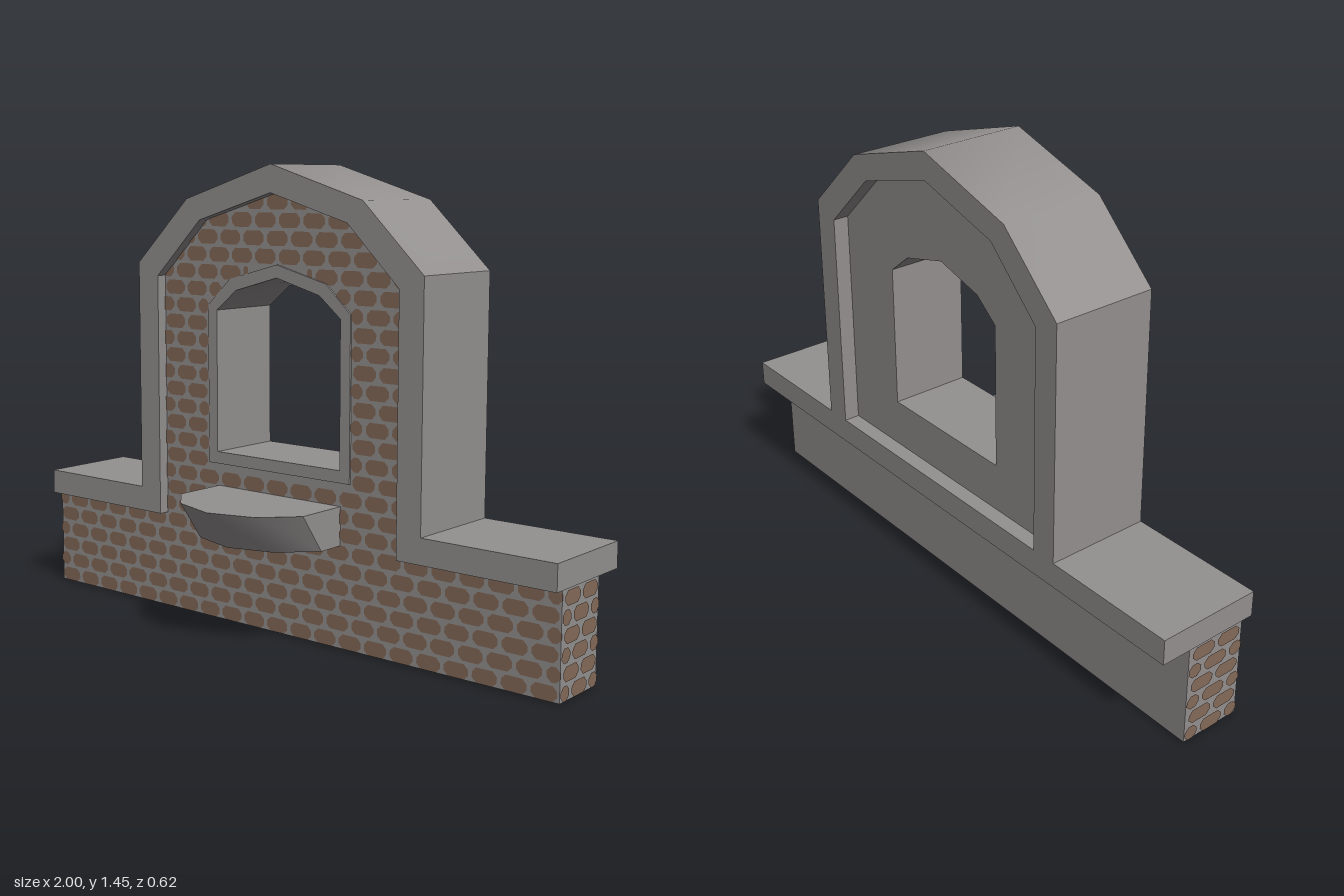
import * as THREE from 'three';
import { toCreasedNormals } from 'three/addons/utils/BufferGeometryUtils.js';

const stone = new THREE.MeshStandardMaterial({ color: 0x949090 });
stone.name = 'grey stone';
const brick = new THREE.MeshStandardMaterial({ color: 0x846a59 });
brick.name = 'brown brick';

// Half outlines as [x, y], from the bottom up to the apex on x = 0
const copingOuter = [[1, 0.32], [1, 0.4], [0.56, 0.4], [0.56, 1.14], [0.345, 1.345], [0, 1.45]];
const copingInner = [[0.475, 0.32], [0.475, 1.1], [0.29, 1.28], [0, 1.365]];
const opening = [[0.245, 0.55], [0.245, 1.0], [0.165, 1.065], [0, 1.11]];
const frameOuter = [[0.282, 0.512], [0.282, 1.015], [0.19, 1.1], [0, 1.15]];

// Completes a half outline with its mirror image
function mirrored(half) {
  const left = half.filter(([x]) => x > 0).reverse().map(([x, y]) => [-x, y]);
  return [...half, ...left].map(([x, y]) => new THREE.Vector2(x, y));
}

// Half width of an outline at height y
function halfWidth(half, y) {
  for (let i = 1; i < half.length; i++) {
    const [xa, ya] = half[i - 1], [xb, yb] = half[i];
    if (y >= ya && y <= yb && yb > ya) return xa + (xb - xa) * (y - ya) / (yb - ya);
  }
  return 0;
}

function extrude(shape, z0, z1) {
  const geo = new THREE.ExtrudeGeometry(shape, { depth: z1 - z0, bevelEnabled: false });
  return toCreasedNormals(geo.translate(0, 0, z0), 0.7);
}

// Running-bond bricks with clipped corners, kept between an inner and an outer half width
function brickFace(height, outer, inner = () => 0) {
  const pitchX = 0.095, rows = Math.round(height / 0.0555), pitchY = height / rows;
  const h = pitchY * 0.41, shapes = [];
  for (let r = 0; r < rows; r++) {
    const y = (r + 0.5) * pitchY, W = outer(y), w = inner(y);
    for (let i = -11; i <= 11; i++) {
      const cx = (i + (r % 2) / 2) * pitchX;
      let a = Math.max(cx - 0.041, -W), b = Math.min(cx + 0.041, W);
      if (w > 0 && cx >= 0) a = Math.max(a, w);
      if (w > 0 && cx < 0) b = Math.min(b, -w);
      if (b - a < 0.015) continue;
      const c = Math.min(0.014, (b - a) / 3);
      shapes.push(new THREE.Shape([
        [a + c, y - h], [b - c, y - h], [b, y - h + c], [b, y + h - c],
        [b - c, y + h], [a + c, y + h], [a, y + h - c], [a, y - h + c],
      ].map(([px, py]) => new THREE.Vector2(px, py))));
    }
  }
  return new THREE.ShapeGeometry(shapes);
}

export function createModel() {
  const model = new THREE.Group();
  model.name = 'archedWall';
  const add = (name, geo, mat) => {
    const mesh = new THREE.Mesh(geo, mat);
    mesh.name = name;
    model.add(mesh);
    return mesh;
  };

  // Low wall
  add('baseWall', new THREE.BoxGeometry(1.994, 0.317, 0.2).translate(0, 0.1615, -0.11), stone);

  // Arched panel with the window opening
  const panel = new THREE.Shape(mirrored(copingInner));
  panel.holes.push(new THREE.Path(mirrored(opening)));
  add('archPanel', extrude(panel, -0.26, -0.01), stone);

  // Coping over the arch and along the low wall
  const coping = new THREE.Shape([
    ...mirrored(copingOuter),
    ...mirrored(copingInner).reverse(),
  ]);
  add('coping', extrude(coping, -0.31, 0.025), stone);
  add('backSill', new THREE.BoxGeometry(0.95, 0.08, 0.11).translate(0, 0.36, -0.255), stone);

  // Flat surround of the window
  const frame = new THREE.Shape(mirrored(frameOuter));
  frame.holes.push(new THREE.Path(mirrored(opening)));
  add('windowSurround', extrude(frame, -0.01, -0.004), stone);

  // Projecting ledge, its front sloping back towards the bottom
  const ledgeShape = new THREE.Shape(
    mirrored([[0.245, -0.02], [0.245, 0.165], [0.15, 0.265], [0, 0.31]]));
  const ledge = new THREE.ExtrudeGeometry(ledgeShape, { depth: 0.12, bevelEnabled: false });
  ledge.rotateX(Math.PI / 2).scale(1, 1, 1).translate(0, 0.44, 0);
  const p = ledge.attributes.position;
  for (let i = 0; i < p.count; i++) {
    if (p.getY(i) < 0.38 && p.getZ(i) > 0) p.setZ(i, p.getZ(i) - 0.085);
  }
  add('ledge', toCreasedNormals(ledge, 0.7), stone);

  // Brick facing on the front, ends and underside
  const frontOuter = (y) => (y < 0.32 ? 1 : halfWidth(copingInner, y) + 0.03);
  const frontInner = (y) => halfWidth(frameOuter, y);
  add('frontBricks', brickFace(1.365, frontOuter, frontInner).translate(0, 0, -0.007), brick);
  for (const side of [-1, 1]) {
    const end = brickFace(0.32, () => 0.1).rotateY(side * Math.PI / 2);
    add(side > 0 ? 'leftEndBricks' : 'rightEndBricks', end.translate(side, 0, -0.11), brick);
  }
  add('undersideBricks',
    brickFace(0.2, () => 1).rotateX(Math.PI / 2).translate(0, 0, -0.21), brick);

  return model;
}
